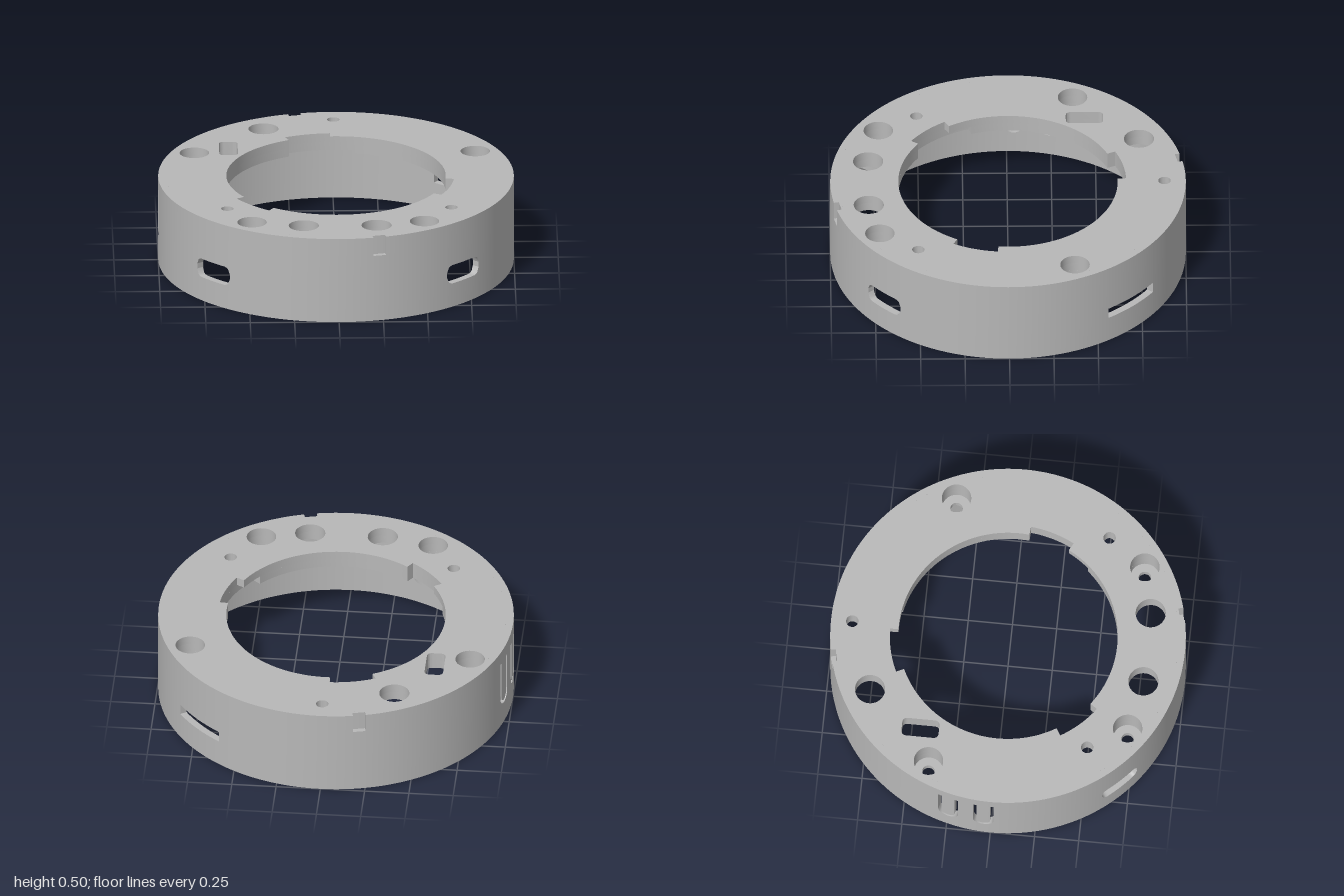
import * as THREE from 'three';
import { toCreasedNormals } from 'three/addons/utils/BufferGeometryUtils.js';

const RAD = Math.PI / 180;
const R_OUT = 1, R_IN = 0.96, H = 0.5, PLATE_Y = 0.4;

export function createModel() {
  const model = new THREE.Group();
  model.name = 'mountingRing';
  const grey = new THREE.MeshStandardMaterial({ color: 0xb8b8b8 });
  grey.name = 'grey plastic';

  const add = (parent, name, geometry) => {
    const mesh = new THREE.Mesh(geometry, grey);
    mesh.name = name;
    parent.add(mesh);
    return mesh;
  };

  // Curved bar between two angles (degrees from +z towards +x); lo and hi are heights or functions of angle
  const at = (v, a) => (typeof v === 'function' ? v(a) : v);
  function bar(parent, name, a0, a1, lo, hi, rOut = R_OUT) {
    const n = Math.max(20, Math.ceil((a1 - a0) / 1.5));
    const g = new THREE.BoxGeometry(1, 1, 1, n, 1, 1);
    const p = g.attributes.position;
    for (let i = 0; i < p.count; i++) {
      const a = THREE.MathUtils.lerp(a0, a1, p.getX(i) + 0.5);
      const y = p.getY(i) < 0 ? at(lo, a) : at(hi, a);
      const r = p.getZ(i) < 0 ? R_IN : rOut;
      p.setXYZ(i, r * Math.sin(a * RAD), y, r * Math.cos(a * RAD));
    }
    g.computeVertexNormals();
    return add(parent, name, g);
  }

  // ---- Outer wall, made of plain stretches between the openings ----
  const wall = new THREE.Group();
  wall.name = 'outerWall';
  model.add(wall);

  // Window with rounded corners
  function windowPanel(c, half, y0, y1, corner) {
    const mid = (y0 + y1) / 2, hh = (y1 - y0) / 2;
    const h = (a) => {
      const d = Math.max(0, (half - Math.abs(a - c)) * RAD);
      return d < corner ? hh - corner + Math.sqrt(corner ** 2 - (corner - d) ** 2) : hh;
    };
    bar(wall, 'windowSill', c - half, c + half, 0, (a) => mid - h(a));
    bar(wall, 'windowHeader', c - half, c + half, (a) => mid + h(a), H);
  }

  // Flexible tongue hanging in a U-shaped gap
  function tonguePanel(c, half) {
    const wide = half * RAD, thin = wide - 0.02, base = 0.13 + wide, top = 0.42;
    const curve = (r) => (a) => base - Math.sqrt(Math.max(0, r * r - ((a - c) * RAD) ** 2));
    bar(wall, 'tongueSill', c - half, c + half, 0, curve(wide));
    bar(wall, 'tongueHeader', c - half, c + half, top, H);
    bar(wall, 'tongue', c - thin / RAD, c + thin / RAD, curve(thin), top);
  }

  // Shallow notch in the top edge
  function notchPanel(c, half) {
    bar(wall, 'notchBase', c - half, c + half, 0, 0.39);
    bar(wall, 'notchBack', c - half, c + half, 0.39, H, 0.972);
  }

  const features = [
    [-45, 7.3, (c, h) => windowPanel(c, h, 0.14, 0.25, 0.04)],
    [13.3, 2.1, notchPanel],
    [45, 7.3, (c, h) => windowPanel(c, h, 0.14, 0.25, 0.04)],
    [134, 10, (c, h) => windowPanel(c, h, 0.155, 0.22, 0.001)],
    [192.6, 2.1, notchPanel],
    [256, 3.4, tonguePanel],
    [267.7, 3.4, tonguePanel],
  ];
  features.forEach(([c, half, build], i) => {
    build(c, half);
    const next = features[(i + 1) % features.length];
    const end = next[0] - next[1] + (i === features.length - 1 ? 360 : 0);
    bar(wall, 'plainWall', c + half, end, 0, H);
  });

  // ---- Flat shapes drawn with y = -z, extruded upwards ----
  const circle = (x, z, r, n = 40) => new THREE.Path(
    Array.from({ length: n }, (_, i) => {
      const t = (i / n) * Math.PI * 2;
      return new THREE.Vector2(x + r * Math.cos(t), -z + r * Math.sin(t));
    }));
  function extrudeUp(shape, y0, y1) {
    const g = new THREE.ExtrudeGeometry(shape, { depth: y1 - y0, bevelEnabled: false, curveSegments: 8 });
    g.rotateX(-Math.PI / 2).translate(0, y0, 0);
    return toCreasedNormals(g, 0.5);
  }

  // Central opening with three wider bayonet gaps starting at the given angle
  function opening(gapStart) {
    const pts = [];
    const arc = (a0, a1, r) => {
      const n = Math.ceil((a1 - a0) / 2.5);
      for (let i = 0; i <= n; i++) {
        const a = (a0 + ((a1 - a0) * i) / n) * RAD;
        pts.push(new THREE.Vector2(r * Math.cos(a), r * Math.sin(a)));
      }
    };
    for (let k = 0; k < 3; k++) {
      arc(gapStart + 120 * k, 114.5 + 120 * k, 0.665);
      arc(114.5 + 120 * k, gapStart + 120 * (k + 1), 0.617);
    }
    return new THREE.Path(pts);
  }

  function roundedSlot(x0, x1, z0, z1, r) {
    const p = new THREE.Path(), b = -z1, t = -z0;
    p.moveTo(x0 + r, b).lineTo(x1 - r, b).quadraticCurveTo(x1, b, x1, b + r);
    p.lineTo(x1, t - r).quadraticCurveTo(x1, t, x1 - r, t);
    p.lineTo(x0 + r, t).quadraticCurveTo(x0, t, x0, t - r);
    p.lineTo(x0, b + r).quadraticCurveTo(x0, b, x0 + r, b);
    return p;
  }

  const screws = [[-0.79, -0.37], [0.79, -0.37], [-0.485, 0.725], [0.485, 0.725]];
  const smallHoles = [[0, -0.88], [-0.62, 0.51], [0.64, 0.51]];
  const largeHoles = [[-0.395, -0.74], [-0.195, 0.785], [0.215, 0.785]];

  function plateShape(gapStart) {
    const shape = new THREE.Shape(circle(0, 0, R_IN, 240).getPoints());
    shape.holes.push(
      opening(gapStart),
      roundedSlot(-0.65, -0.545, -0.54, -0.33, 0.03),
      ...screws.map(([x, z]) => circle(x, z, 0.083)),
      ...smallHoles.map(([x, z]) => circle(x, z, 0.035, 24)),
      ...largeHoles.map(([x, z]) => circle(x, z, 0.085)));
    return shape;
  }

  // Top plate: the lower layer has longer gaps, leaving an overhanging lip above
  add(model, 'topPlate', extrudeUp(plateShape(92), 0.45, H));
  add(model, 'topPlateUndercut', extrudeUp(plateShape(79), PLATE_Y, 0.45));

  // ---- Screw posts under the plate, joined to the wall ----
  function postShape(hole) {
    const s = new THREE.Shape();
    s.moveTo(0.1, 0.11).lineTo(0, 0.11);
    s.absarc(0, 0, 0.11, Math.PI / 2, Math.PI * 1.5, false);
    s.lineTo(0.1, -0.11);
    s.closePath();
    s.holes.push(circle(0, 0, hole));
    return s;
  }
  for (const [x, z] of screws) {
    const post = new THREE.Group();
    post.name = 'screwPost';
    add(post, 'postSleeve', extrudeUp(postShape(0.083), 0.33, PLATE_Y));
    add(post, 'postFloor', extrudeUp(postShape(0.035), 0.29, 0.33));
    post.position.set(x, 0, z);
    post.rotation.y = Math.atan2(-z, x);
    model.add(post);
  }
  return model;
}
